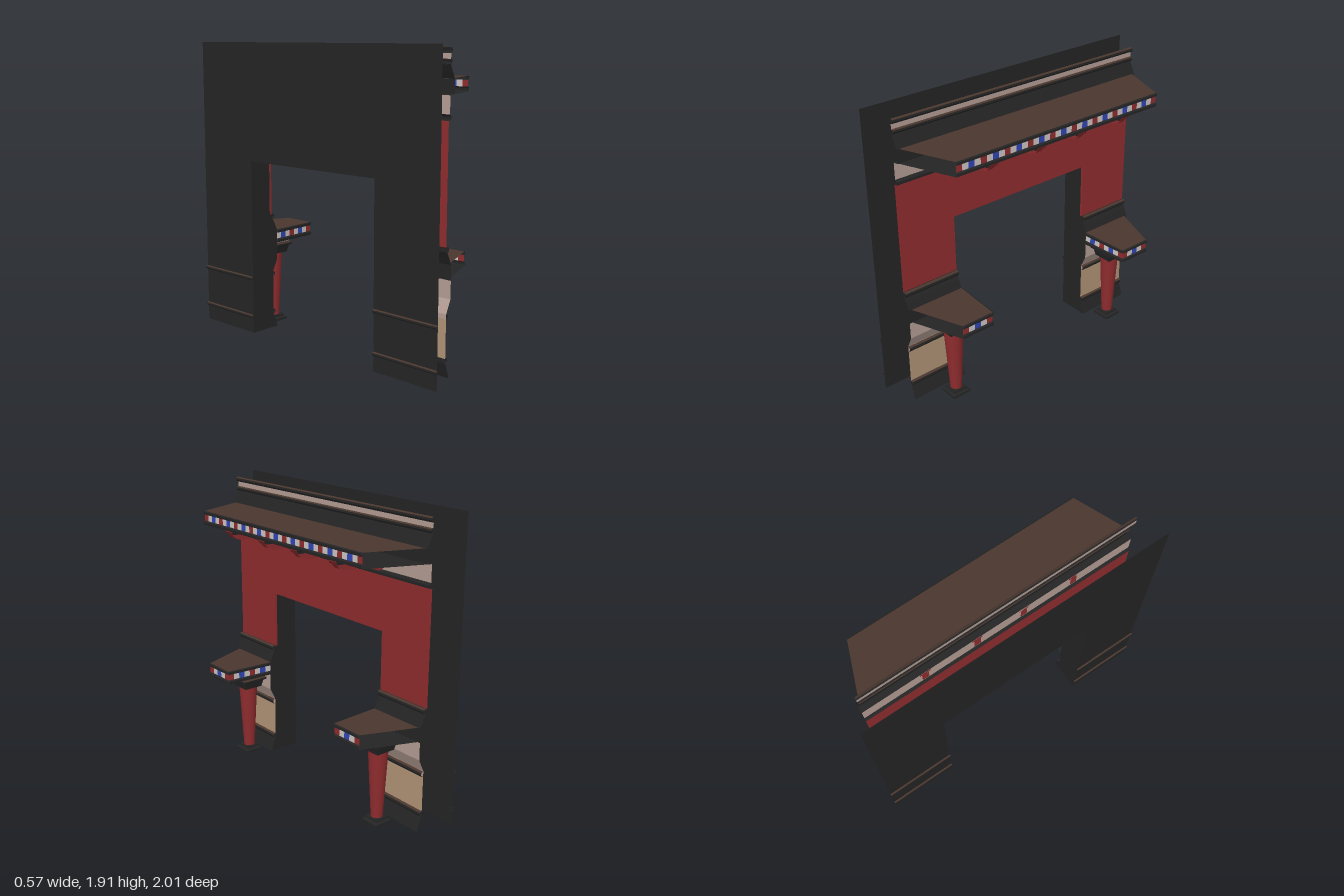
import * as THREE from 'three';

const mat = (name, color) => new THREE.MeshStandardMaterial({ name, color, side: THREE.DoubleSide });
const dark = mat('charcoal', 0x242424), red = mat('red', 0x8f2c2e), brown = mat('brown', 0x4a362d);
const tan = mat('tan', 0xb09376), pale = mat('pale stone', 0xb49d94);
const blue = mat('blue', 0x2f45b5), white = mat('white', 0xcdc6c2);

const OPEN = 0.53, WALL = 0.92, ARCH = 1.15;

function add(parent, name, geometry, material) {
  const mesh = new THREE.Mesh(geometry, material);
  mesh.name = name;
  parent.add(mesh);
  return mesh;
}

// Sweeps a profile of [outward offset, height] between two plan points [x, z]
function sweep(parent, name, material, profile, P, Q) {
  const dx = Q[0] - P[0], dz = Q[1] - P[1], len = Math.hypot(dx, dz);
  const n = [-dz / len, dx / len];
  const at = (A, [d, y]) => [A[0] + n[0] * d, y, A[1] + n[1] * d];
  const pos = [];
  for (let i = 0; i + 1 < profile.length; i++) {
    const a = at(P, profile[i]), b = at(Q, profile[i]);
    const c = at(Q, profile[i + 1]), d = at(P, profile[i + 1]);
    pos.push(...a, ...b, ...c, ...a, ...c, ...d);
  }
  const g = new THREE.BufferGeometry();
  g.setAttribute('position', new THREE.Float32BufferAttribute(pos, 3));
  g.computeVertexNormals();
  return add(parent, name, g, material);
}

// Straight band along z, with the profile given as [x, y]
const band = (parent, name, material, profile, z1, z0) =>
  sweep(parent, name, material, profile, [0, z1], [0, z0]);

// Half-round moulding, charcoal below and brown above
function roll(parent, name, x, y, r, z1, z0, side = 1) {
  const arc = (from, to) => [0, 1, 2, 3].map(i => {
    const t = from + (to - from) * i / 3;
    return [x + side * r * Math.cos(t), y + r * Math.sin(t)];
  });
  band(parent, name + 'Lower', dark, arc(-Math.PI / 2, Math.PI / 5), z1, z0);
  band(parent, name + 'Upper', brown, arc(Math.PI / 5, Math.PI / 2), z1, z0);
}

// Flat panel facing +x with the opening cut out of its lower edge
function archPanel(parent, name, material, half, y0, y1, x) {
  const pts = [[-half, y0], [-OPEN, y0], [-OPEN, ARCH], [OPEN, ARCH], [OPEN, y0], [half, y0], [half, y1], [-half, y1]];
  const g = new THREE.ShapeGeometry(new THREE.Shape(pts.map(p => new THREE.Vector2(...p))));
  add(parent, name, g.rotateY(Math.PI / 2), material).position.x = x;
}

// Horizontal polygon through plan points [x, z]
function slab(parent, name, material, pts, y) {
  const g = new THREE.ShapeGeometry(new THREE.Shape(pts.map(([x, z]) => new THREE.Vector2(x, -z))));
  add(parent, name, g.rotateX(-Math.PI / 2), material).position.y = y;
}

// Shelf edge: two mouldings with a row of coloured tiles between
function tiledEdge(parent, name, P, Q, y) {
  sweep(parent, name + 'LowerTrim', dark, [[0, y], [0.01, y + 0.005], [0.01, y + 0.02], [0, y + 0.027]], P, Q);
  sweep(parent, name + 'UpperTrim', dark, [[0, y + 0.066], [0.01, y + 0.072], [0.01, y + 0.086], [0, y + 0.09]], P, Q);
  const n = Math.max(5, Math.round(Math.hypot(Q[0] - P[0], Q[1] - P[1]) / 0.042));
  const mix = t => [P[0] + (Q[0] - P[0]) * t, P[1] + (Q[1] - P[1]) * t];
  const colors = [red, white, blue, white];
  for (let i = 0; i < n; i++)
    sweep(parent, name + 'Tile', colors[i % 4], [[0, y + 0.027], [0, y + 0.066]], mix(i / n), mix((i + 1) / n));
}

// Four-sided moulded block from [half width, y] steps
function squareBlock(parent, name, material, steps) {
  const g = new THREE.LatheGeometry(steps.map(([h, y]) => new THREE.Vector2(h * Math.SQRT2, y)), 4, Math.PI / 4).toNonIndexed();
  g.computeVertexNormals();
  return add(parent, name, g, material);
}

function makeColumn() {
  const col = new THREE.Group();
  col.name = 'column';
  squareBlock(col, 'columnBase', dark, [[0, 0], [0.064, 0], [0.064, 0.015], [0.048, 0.022], [0.045, 0.038], [0, 0.04]]);
  add(col, 'columnShaft', new THREE.CylinderGeometry(0.062, 0.037, 0.45, 20, 1, true), red).position.y = 0.26;
  squareBlock(col, 'capital', dark, [[0, 0.48], [0.066, 0.48], [0.07, 0.5], [0.076, 0.525], [0.092, 0.535], [0.092, 0.548]]);
  squareBlock(col, 'capitalBand', brown, [[0.092, 0.548], [0.075, 0.55], [0.075, 0.556]]);
  squareBlock(col, 'capitalStripe', pale, [[0.075, 0.556], [0.08, 0.564]]);
  squareBlock(col, 'capitalTop', dark, [[0.08, 0.564], [0.088, 0.568], [0.088, 0.58], [0, 0.58]]);
  col.position.set(0.03, 0, 0.67);
  return col;
}

function makePier() {
  const pier = new THREE.Group();
  pier.name = 'pier';
  // Stacked front bands
  band(pier, 'plinth', dark, [[-0.065, 0], [-0.1, 0.1], [-0.1, 0.125]], WALL, OPEN);
  band(pier, 'lowerPanel', tan, [[-0.1, 0.125], [-0.1, 0.36]], WALL, OPEN);
  band(pier, 'middlePanel', pale, [[-0.1, 0.36], [-0.1, 0.39], [-0.062, 0.47], [-0.062, 0.58]], WALL, OPEN);
  band(pier, 'shelfCove', dark, [[-0.062, 0.58], [-0.062, 0.67], [-0.082, 0.715], [-0.1, 0.75], [-0.1, 0.775], [-0.11, 0.78]], WALL, OPEN);
  for (const y of [0.11, 0.37, 0.765]) roll(pier, 'frontMoulding', -0.1, y, 0.018, WALL, OPEN);
  for (const y of [0.11, 0.37]) roll(pier, 'backMoulding', -0.28, y, 0.013, 1.003, OPEN, -1);

  // Side of the opening
  const outline = [[-0.28, 0], [-0.065, 0], [-0.1, 0.1], [-0.1, 0.39], [-0.062, 0.47], [-0.062, 0.67], [-0.1, 0.75],
    [-0.11, 0.78], [-0.11, ARCH], [-0.28, ARCH]];
  add(pier, 'jamb', new THREE.ShapeGeometry(new THREE.Shape(outline.map(p => new THREE.Vector2(...p)))), dark).position.z = OPEN;
  add(pier, 'jambRedEdge', new THREE.BoxGeometry(0.015, 0.37, 0.004), red).position.set(-0.1165, 0.965, OPEN);

  // Small shelf, open at its outer end
  const plan = [[-0.062, 0.9], [0.27, 0.77], [0.27, 0.55], [-0.062, OPEN]];
  slab(pier, 'sideShelfTop', brown, plan, 0.67);
  slab(pier, 'sideShelfUnderside', dark, plan, 0.58);
  tiledEdge(pier, 'sideShelfFront', plan[1], plan[2], 0.58);
  tiledEdge(pier, 'sideShelfInner', plan[2], plan[3], 0.58);
  pier.add(makeColumn());
  return pier;
}

export function createModel() {
  const model = new THREE.Group();
  model.name = 'fireplace';

  archPanel(model, 'backPanel', dark, 1, 0, 1.91, -0.28);
  archPanel(model, 'redWall', red, WALL, 0.78, 1.49, -0.11);
  slab(model, 'soffit', dark, [[-0.28, OPEN], [-0.11, OPEN], [-0.11, -OPEN], [-0.28, -OPEN]], ARCH);
  slab(model, 'innerLedge', dark, [[-0.25, 0.74], [-0.125, 0.74], [-0.125, -0.74], [-0.25, -0.74]], ARCH + 0.01);

  for (const s of [1, -1]) {
    const pier = makePier();
    pier.scale.z = s;
    model.add(pier);
  }

  // Frieze and cornice above the wall
  band(model, 'friezeBase', dark, [[-0.11, 1.49], [-0.085, 1.495], [-0.085, 1.512], [-0.1, 1.525]], WALL, -WALL);
  band(model, 'frieze', pale, [[-0.1, 1.525], [-0.1, 1.63]], WALL, -WALL);
  band(model, 'mantelCove', dark, [[-0.1, 1.63], [-0.062, 1.635], [-0.062, 1.72], [-0.082, 1.76], [-0.1, 1.8]], WALL, -WALL);
  roll(model, 'corniceLowerMoulding', -0.1, 1.812, 0.015, WALL, -WALL);
  band(model, 'corniceBand', pale, [[-0.1, 1.827], [-0.1, 1.858]], WALL, -WALL);
  roll(model, 'corniceUpperMoulding', -0.1, 1.873, 0.016, WALL, -WALL);

  // Mantel shelf, open at both ends
  const plan = [[-0.08, 0.91], [0.27, 0.77], [0.27, -0.77], [-0.08, -0.91]];
  slab(model, 'mantelTop', brown, plan, 1.72);
  slab(model, 'mantelUnderside', dark, plan, 1.63);
  tiledEdge(model, 'mantelFront', plan[1], plan[2], 1.63);

  // Brackets under the mantel
  const side = new THREE.Shape([[-0.1, 1.605], [-0.1, 1.53], [-0.075, 1.522], [0.03, 1.558], [0.18, 1.562],
    [0.225, 1.578], [0.25, 1.605]].map(p => new THREE.Vector2(...p)));
  const cap = new THREE.Shape([[-0.1, 1.605], [0.25, 1.605], [0.265, 1.625], [-0.1, 1.625]].map(p => new THREE.Vector2(...p)));
  for (const z of [-0.51, -0.16, 0.16, 0.51]) {
    add(model, 'bracket', new THREE.ExtrudeGeometry(side, { depth: 0.044, bevelEnabled: false }), red).position.z = z - 0.022;
    add(model, 'bracketCap', new THREE.ExtrudeGeometry(cap, { depth: 0.07, bevelEnabled: false }), [red, dark].reverse()).position.z = z - 0.035;
  }
  return model;
}
